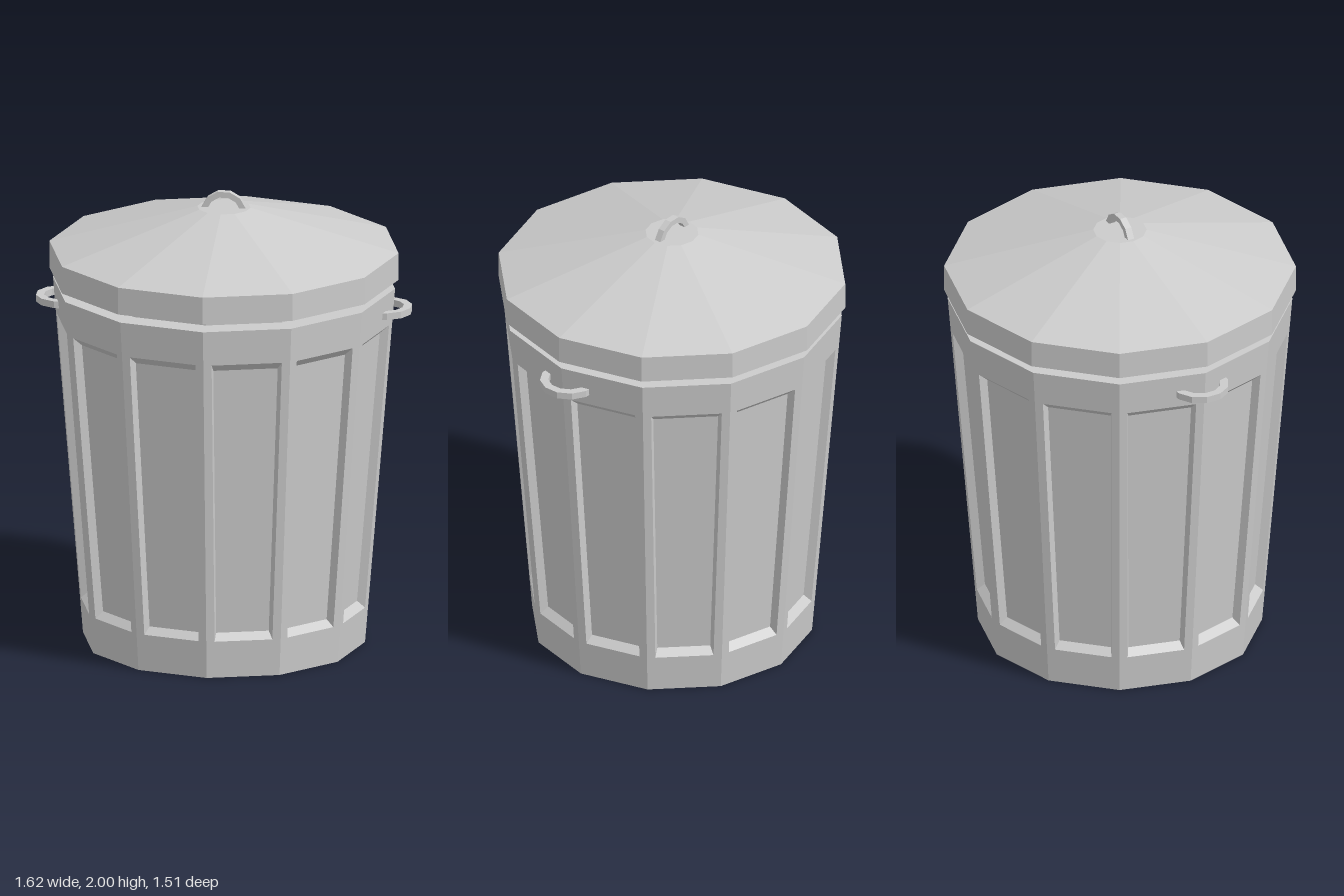
import * as THREE from 'three';

const SIDES = 12;
const HALF = Math.PI / SIDES;
const BODY_TOP = 1.59;
const material = new THREE.MeshStandardMaterial({ color: 0xcccccc, flatShading: true });

const bodyRadius = (y) => 0.61 + 0.13 * y / BODY_TOP;

function addMesh(parent, geometry, name) {
  const mesh = new THREE.Mesh(geometry, material);
  mesh.name = name;
  parent.add(mesh);
  return mesh;
}

// Twelve-sided turned shape; profile runs from bottom to top
function turned(profile) {
  return new THREE.LatheGeometry(profile.map(([r, y]) => new THREE.Vector2(r, y)), SIDES);
}

// Four corners on one tapered facet: lower and upper height, side margin, depth
function facetRing(y0, y1, margin, depth) {
  return [[-1, y0], [1, y0], [1, y1], [-1, y1]].map(([side, y]) => {
    const r = bodyRadius(y);
    return [side * (r * Math.sin(HALF) - margin), y, r * Math.cos(HALF) - depth];
  });
}

// One wall facet: flat frame, bevelled edge and sunken panel
function wallFacet() {
  const rings = [
    facetRing(0, BODY_TOP, 0, 0),
    facetRing(0.165, 1.435, 0.036, 0),
    facetRing(0.195, 1.4, 0.048, 0.035),
  ];
  const positions = [];
  const quad = (a, b, c, d) => positions.push(...a, ...b, ...c, ...a, ...c, ...d);
  for (let k = 0; k < 2; k++) {
    for (let j = 0; j < 4; j++) {
      const n = (j + 1) % 4;
      quad(rings[k][j], rings[k][n], rings[k + 1][n], rings[k + 1][j]);
    }
  }
  quad(...rings[2]);
  const geometry = new THREE.BufferGeometry();
  geometry.setAttribute('position', new THREE.Float32BufferAttribute(positions, 3));
  geometry.computeVertexNormals();
  return geometry;
}

// Angular half-ring handle arching towards +y, with its ends sunk into the surface
function handleGeometry(outer, inner, thickness) {
  const points = [];
  const arc = (radius, k) => {
    const a = Math.PI / 2 + (k * 30 + 15) * Math.PI / 180;
    points.push(new THREE.Vector2(radius * Math.cos(a), radius * Math.sin(a)));
  };
  for (let k = -4; k <= 3; k++) arc(outer, k);
  for (let k = 3; k >= -4; k--) arc(inner, k);
  const geometry = new THREE.ExtrudeGeometry(new THREE.Shape(points), {
    depth: thickness, bevelEnabled: false,
  });
  return geometry.translate(0, 0, -thickness / 2);
}

export function createModel() {
  const model = new THREE.Group();
  model.name = 'trashCan';

  // Tapered body with recessed panels
  const body = new THREE.Group();
  body.name = 'body';
  model.add(body);
  const facet = wallFacet();
  for (let i = 0; i < SIDES; i++) {
    addMesh(body, facet, 'wallPanel').rotation.y = (2 * i + 1) * HALF;
  }
  addMesh(body, turned([[0, 0], [0.61, 0]]), 'base');
  addMesh(body, turned([[0.74, BODY_TOP], [0, BODY_TOP]]), 'rim');

  // Lid with its narrower neck
  const lid = new THREE.Group();
  lid.name = 'lid';
  model.add(lid);
  addMesh(lid, turned([[0.638, BODY_TOP], [0.638, 1.64]]), 'neck');
  addMesh(lid, turned([[0, 1.63], [0.755, 1.63], [0.755, 1.75], [0.115, 1.93], [0, 1.93]]), 'cover');
  addMesh(lid, handleGeometry(0.1, 0.074, 0.03), 'lidHandle').position.y = 1.903;

  // Side handles lying flat, arching outwards
  const sideHandle = handleGeometry(0.126, 0.09, 0.03).rotateX(Math.PI / 2).rotateY(Math.PI / 2);
  for (const side of [1, -1]) {
    const handle = addMesh(model, sideHandle, side > 0 ? 'leftHandle' : 'rightHandle');
    handle.position.set(side * 0.688, 1.5, 0);
    if (side < 0) handle.rotation.y = Math.PI;
  }
  return model;
}
